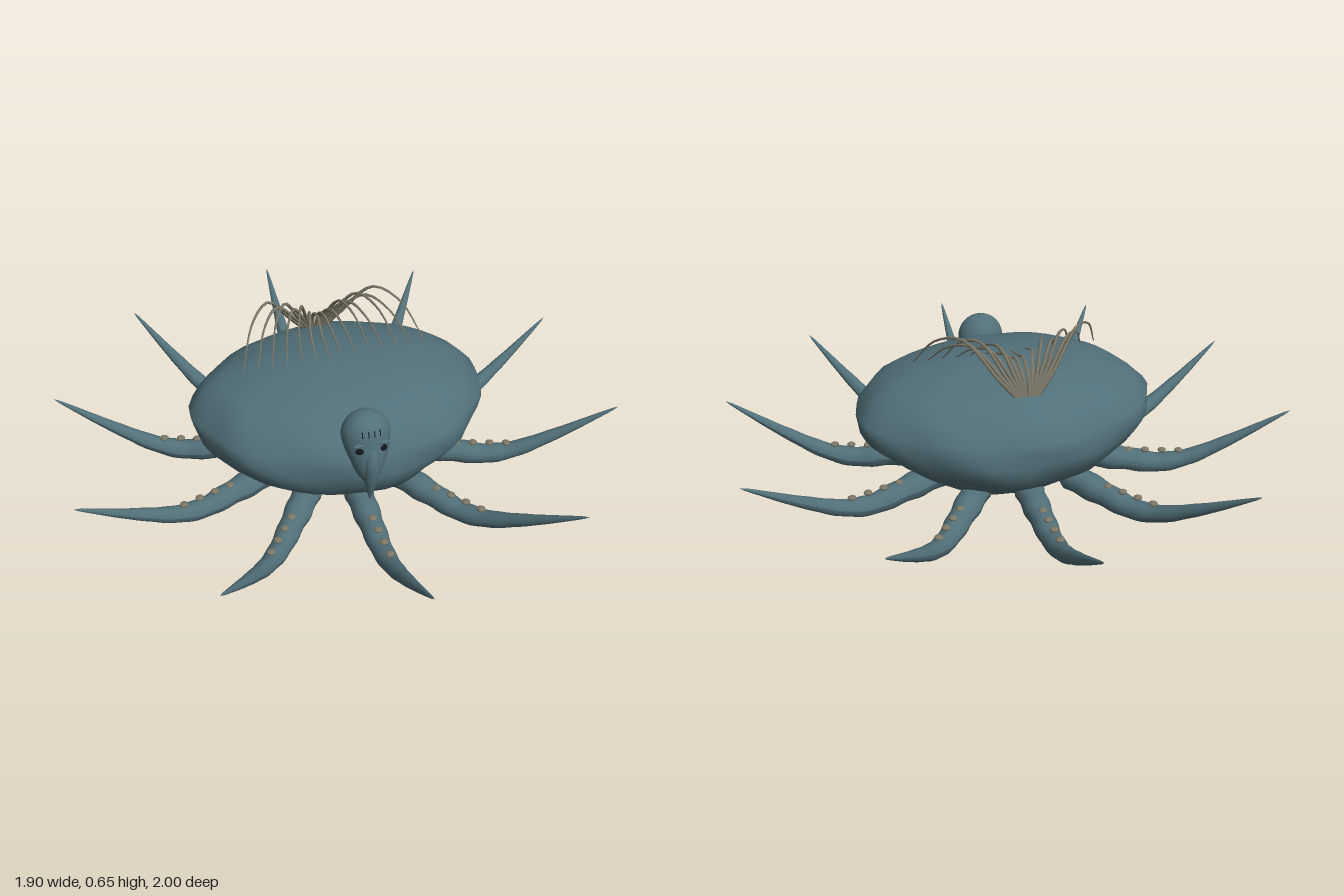
import * as THREE from 'three';
import { mergeVertices } from 'three/addons/utils/BufferGeometryUtils.js';

const skin = new THREE.MeshStandardMaterial({ color: 0x527079, side: THREE.DoubleSide });
const horn = new THREE.MeshStandardMaterial({ color: 0x7c7868 });
const dark = new THREE.MeshStandardMaterial({ color: 0x14181a });

const v = (x, y, z) => new THREE.Vector3(x, y, z);

function add(parent, name, geometry, material, pos, scale) {
  const mesh = new THREE.Mesh(geometry, material);
  mesh.name = name;
  if (pos) mesh.position.set(...pos);
  if (scale) mesh.scale.set(...scale);
  parent.add(mesh);
  return mesh;
}

// Tube whose radius follows radius(t) along the curve
function taperedTube(points, radius, segments, sides) {
  const curve = new THREE.CatmullRomCurve3(points);
  const geo = new THREE.TubeGeometry(curve, segments, 1, sides);
  const pos = geo.attributes.position, p = v(0, 0, 0);
  for (let i = 0; i <= segments; i++) {
    const c = curve.getPointAt(i / segments), r = radius(i / segments);
    for (let j = 0; j <= sides; j++) {
      const k = i * (sides + 1) + j;
      p.fromBufferAttribute(pos, k).sub(c).multiplyScalar(r).add(c);
      pos.setXYZ(k, p.x, p.y, p.z);
    }
  }
  geo.computeVertexNormals();
  return geo;
}

// Lumpy oval body: lathe profile, squashed in depth and rippled
function bodyGeometry() {
  const profile = [[0, 0.002], [0.13, 0.022], [0.24, 0.058], [0.31, 0.1], [0.39, 0.155], [0.46, 0.21],
    [0.505, 0.26], [0.52, 0.3], [0.518, 0.34], [0.465, 0.4], [0.4, 0.438], [0.29, 0.473], [0.14, 0.495], [0, 0.5]];
  let geo = new THREE.LatheGeometry(profile.map(p => new THREE.Vector2(...p)), 40);
  geo.deleteAttribute('uv');
  geo.deleteAttribute('normal');
  geo = mergeVertices(geo, 1e-4);
  const pos = geo.attributes.position;
  for (let i = 0; i < pos.count; i++) {
    const x = pos.getX(i), y = pos.getY(i), z = pos.getZ(i), a = Math.atan2(z, x);
    const lump = 1 + 0.013 * Math.sin(5 * a + 9 * y) + 0.011 * Math.sin(9 * a - 24 * y) + 0.008 * Math.sin(4 * a + 60 * y);
    const depth = 0.75 + 0.14 * THREE.MathUtils.clamp((0.3 - y) / 0.15, 0, 1);
    pos.setXYZ(i, x * lump + 0.012, y, z * lump * depth);
  }
  geo.computeVertexNormals();
  return geo;
}

// One tentacle reaching along +z, with suckers on its upper side
function tentacle() {
  const g = new THREE.Group();
  const path = [v(0, 0.12, 0.25), v(0, 0.1, 0.34), v(0, 0.085, 0.44), v(0, 0.073, 0.55),
    v(0, 0.095, 0.65), v(0, 0.165, 0.79), v(0, 0.29, 1)];
  // Soft swellings on the inner half fade towards the tip
  const radius = t => t === 0 || t === 1 ? 0.0005
    : 0.051 * Math.min(1, 0.55 + 9 * t) * Math.pow(1 - t, 0.85) * (1 + 0.07 * Math.sin(t * 48) * (1 - t)) + 0.002;
  add(g, 'tentacleArm', taperedTube(path, radius, 40, 14), skin);
  const sucker = new THREE.SphereGeometry(1, 12, 8);
  for (const z of [0.38, 0.44, 0.5, 0.56, 0.62]) {
    add(g, 'sucker', sucker, horn, [0, 0.123, z], [0.015, 0.008, 0.015]);
  }
  return g;
}

// Long-nosed face on the front of the body
function head() {
  const g = new THREE.Group();
  g.name = 'head';
  const skull = new THREE.SphereGeometry(1, 28, 24);
  const pos = skull.attributes.position;
  for (let i = 0; i < pos.count; i++) {
    // The lower half tapers to a long chin that leans forward off the body
    const y = pos.getY(i), low = Math.max(0, -y);
    pos.setXYZ(i, pos.getX(i) * 0.083 * (1 - 0.3 * low), y * (y < 0 ? 0.17 : 0.085), pos.getZ(i) * 0.072 + 0.045 * low);
  }
  skull.computeVertexNormals();
  add(g, 'skull', skull, skin, [0, 0.415, 0.348]);
  const nose = [v(0, 0.415, 0.405), v(0, 0.36, 0.415), v(0, 0.3, 0.414), v(0, 0.24, 0.41), v(0, 0.18, 0.405)];
  add(g, 'trunkNose', taperedTube(nose, t => 0.002 + 0.026 * Math.sin(Math.PI * Math.pow(t, 0.75)), 20, 12), skin);
  const ball = new THREE.SphereGeometry(1, 14, 10);
  for (const s of [-1, 1]) {
    add(g, 'eye', ball, dark, [s * 0.036, 0.393, 0.411], [0.018, 0.013, 0.01]);
    const brow = add(g, 'brow', ball, skin, [s * 0.038, 0.414, 0.408], [0.025, 0.007, 0.01]);
    brow.rotation.z = -s * 0.15;
    // Short furrows on the forehead
    for (const x of [0.01, 0.03]) {
      const furrow = add(g, 'furrow', new THREE.BoxGeometry(0.003, 0.02, 0.006), dark, [s * x, 0.452, 0.412 - x * 0.18]);
      furrow.rotation.x = -0.4;
    }
  }
  return g;
}

// Fan of arching bristles from the back edge over the top
function bristles() {
  const g = new THREE.Group();
  g.name = 'bristles';
  const count = 7;
  for (const s of [-1, 1]) {
    for (let i = 0; i < count; i++) {
      const k = i / (count - 1), end = 0.02 + 0.305 * k;
      const peak = 0.55 + 0.09 * Math.sqrt(k) - (i % 2) * 0.02;
      const path = [v(s * (0.006 + 0.02 * k), 0.44, -0.26), v(s * (0.01 + 0.085 * k), 0.52, -0.235),
        v(s * (0.012 + 0.18 * k), peak, -0.17), v(s * (end - 0.06 * k), peak - 0.025, -0.09), v(s * end, 0.5, 0.01)];
      add(g, 'bristle', taperedTube(path, t => 0.0065 * (1 - t) + 0.0018, 18, 6), horn);
    }
  }
  return g;
}

export function createModel() {
  const model = new THREE.Group();
  model.name = 'tentacledCreature';
  add(model, 'body', bodyGeometry(), skin);
  for (let i = 0; i < 10; i++) {
    const arm = tentacle();
    arm.name = 'tentacle';
    arm.rotation.y = i * Math.PI / 5;
    model.add(arm);
  }
  model.add(head(), bristles());
  return model;
}
